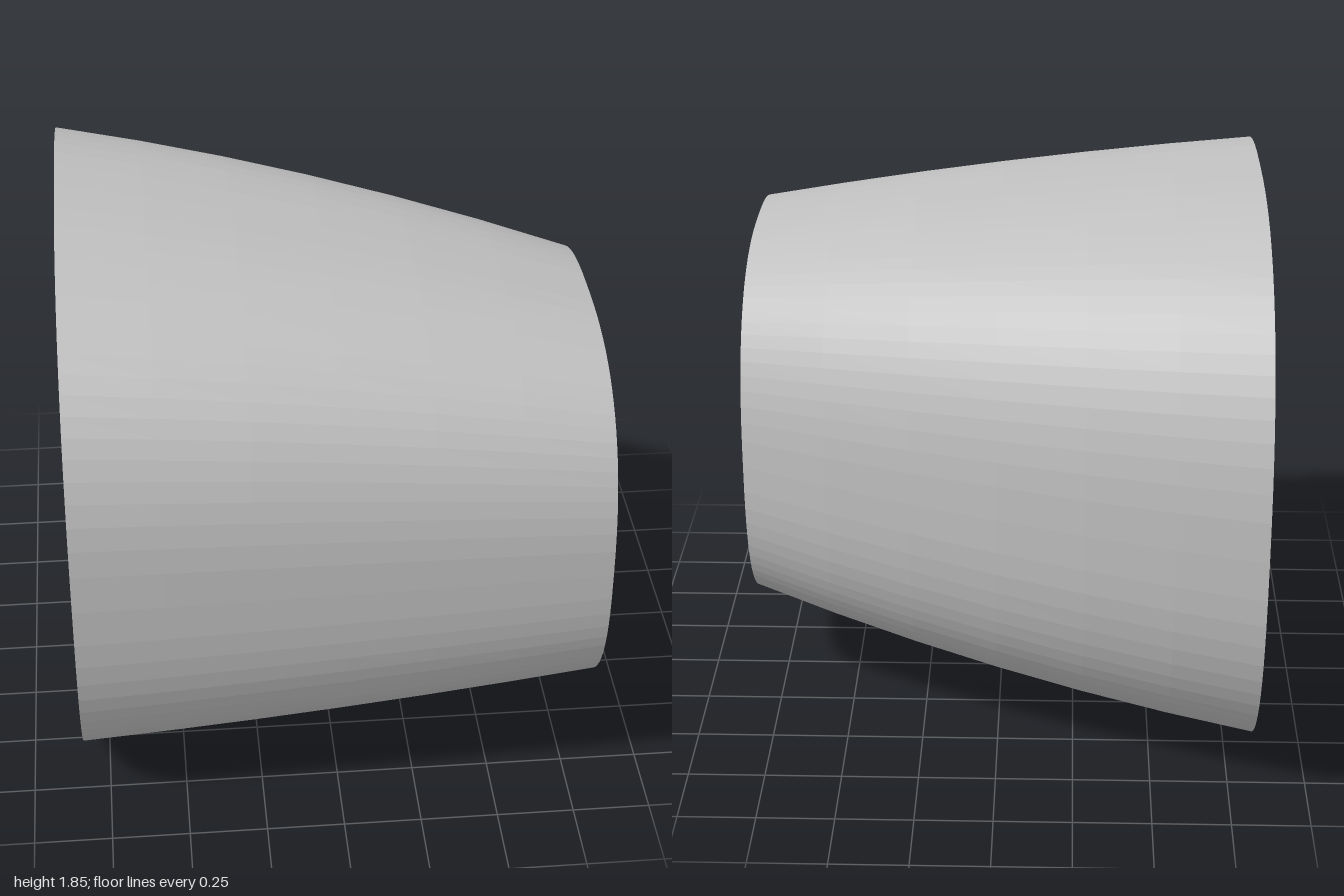
import * as THREE from 'three';

const END = 0.83, MID_Y = 0.925, WALL = 0.02, FLANGE = 0.025, RIM = 0.065;
const SEGMENTS = 80, STATIONS = 7, POWER = 2 / 2.6;

// Rounded-square cross-section of the duct at t (0 = wide end, 1 = narrow end)
function section(t) {
  const bulge = 4 * t * (1 - t);
  const back = -1 + 0.64 * t - 0.05 * bulge;
  const front = 1 - 0.042 * t + 0.003 * bulge;
  return {
    z: (front + back) / 2,
    w: (front - back) / 2,
    h: 0.923 - 0.285 * t + 0.024 * bulge,
  };
}

// Point [z, y] on a section, moved inwards by inset
function outline(s, angle, inset) {
  const bend = v => Math.sign(v) * Math.pow(Math.abs(v), POWER);
  return [
    s.z + (s.w - inset) * bend(Math.cos(angle)),
    MID_Y + (s.h - inset) * bend(Math.sin(angle)),
  ];
}

// Thin faceted wall: outer skin, narrow edge, inner skin, wide edge
function wallGeometry() {
  const rows = [];
  for (let i = 0; i < STATIONS; i++) rows.push([i / (STATIONS - 1), 0]);
  for (let i = STATIONS - 1; i >= 0; i--) rows.push([i / (STATIONS - 1), WALL]);
  const positions = [], index = [];
  for (const [t, inset] of rows) {
    const s = section(t);
    for (let j = 0; j < SEGMENTS; j++) {
      const [z, y] = outline(s, (j / SEGMENTS) * Math.PI * 2, inset);
      positions.push(-END + 2 * END * t, y, z);
    }
  }
  for (let i = 0; i < rows.length; i++) {
    const n = (i + 1) % rows.length;
    for (let j = 0; j < SEGMENTS; j++) {
      const k = (j + 1) % SEGMENTS;
      const a = i * SEGMENTS + j, b = n * SEGMENTS + j;
      const c = n * SEGMENTS + k, d = i * SEGMENTS + k;
      index.push(a, b, d, b, c, d);
    }
  }
  const indexed = new THREE.BufferGeometry();
  indexed.setAttribute('position', new THREE.Float32BufferAttribute(positions, 3));
  indexed.setIndex(index);
  const geometry = indexed.toNonIndexed();
  geometry.computeVertexNormals();
  return geometry;
}

// Flat ring inside an end of the wall, with eight bolt holes
function flangeGeometry(t) {
  const s = section(t);
  const loop = inset => Array.from({ length: SEGMENTS }, (_, j) => {
    const [z, y] = outline(s, (j / SEGMENTS) * Math.PI * 2, inset);
    return new THREE.Vector2(-z, y);
  });
  const shape = new THREE.Shape(loop(0.012));
  shape.holes.push(new THREE.Path(loop(RIM)));
  for (let k = 0; k < 8; k++) {
    const [z, y] = outline(s, (k * Math.PI) / 4, RIM / 2 + 0.002);
    shape.holes.push(new THREE.Path().absarc(-z, y, 0.014, 0, Math.PI * 2, true));
  }
  const geometry = new THREE.ExtrudeGeometry(shape, {
    depth: FLANGE, bevelEnabled: false, curveSegments: 8,
  });
  geometry.rotateY(Math.PI / 2);
  geometry.translate(t === 0 ? -END : END - FLANGE, 0, 0);
  return geometry;
}

export function createModel() {
  const group = new THREE.Group();
  group.name = 'taperedDuct';
  const grey = new THREE.MeshStandardMaterial({ color: 0xc0c0c0 });
  grey.name = 'light grey';

  const add = (name, geometry) => {
    const mesh = new THREE.Mesh(geometry, grey);
    mesh.name = name;
    group.add(mesh);
  };
  add('ductWall', wallGeometry());
  add('wideFlange', flangeGeometry(0));
  add('narrowFlange', flangeGeometry(1));
  return group;
}
